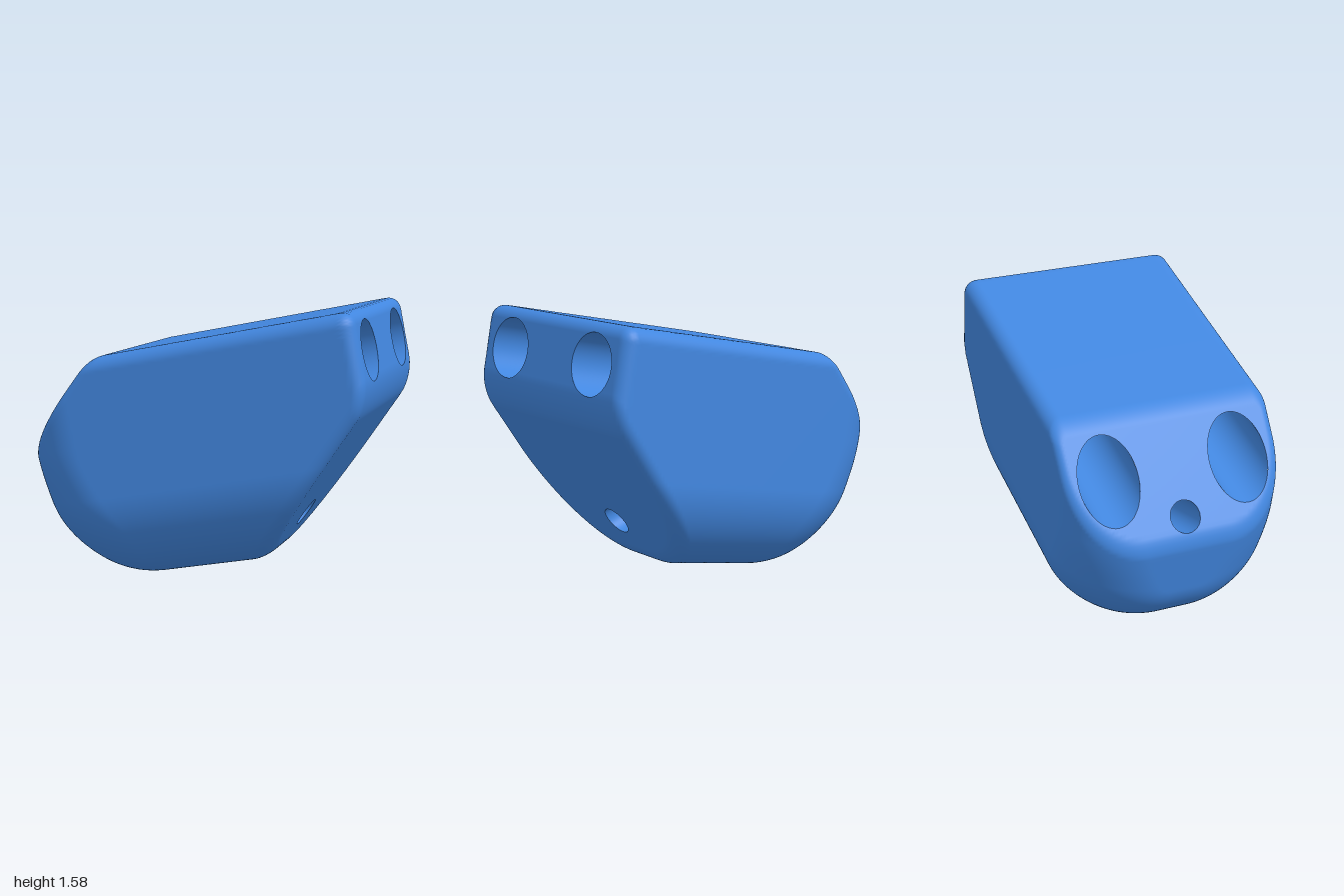
import * as THREE from 'three';
import { mergeVertices } from 'three/addons/utils/BufferGeometryUtils.js';

const TILT = 0.198; // the whole block leans up to the right
const COS = Math.cos(TILT), SIN = Math.sin(TILT);
const CENTRE = new THREE.Vector3(0, 0.78, 0);

// intersection of two solids with a rounded edge of radius r
function rounded(a, b, r) {
  return Math.min(Math.max(a, b), -r) + Math.hypot(Math.max(a + r, 0), Math.max(b + r, 0));
}

// solid block: negative inside, positive outside
function block(p) {
  const u = p.x * COS + p.y * SIN;
  const v = p.y * COS - p.x * SIN;
  // U-shaped section with a slightly tapering width
  let d = rounded(Math.abs(p.z) - (0.63 + 0.018 * u), 0.07 - v, 0.53);
  // left end, rounded widely into the sides and more so into the belly
  const k = THREE.MathUtils.smoothstep(v, 0.2, 0.9);
  d = rounded(d, -u - 0.857, 0.6 - 0.22 * k);
  // flat top, left slant, right end and right slant
  d = rounded(d, v - 1.388, 0.08);
  d = rounded(d, -0.8 * p.x + 0.6 * p.y - 1.237, 0.05);
  const right = rounded(u - 1.216, 0.831 * p.x - 0.556 * p.y - 0.22, 0.09);
  return rounded(d, right, 0.07);
}

// walk from an inside point along a direction to the surface
function trace(origin, dir) {
  let near = 0, far = 2.5;
  const p = new THREE.Vector3();
  for (let i = 0; i < 28; i++) {
    const t = (near + far) / 2;
    p.copy(origin).addScaledVector(dir, t);
    if (block(p) < 0) near = t; else far = t;
  }
  return p;
}

function surfaceNormal(p) {
  const e = 0.004;
  const slope = (x, y, z) =>
    block(new THREE.Vector3(p.x + x, p.y + y, p.z + z)) - block(new THREE.Vector3(p.x - x, p.y - y, p.z - z));
  return new THREE.Vector3(slope(e, 0, 0), slope(0, e, 0), slope(0, 0, e)).normalize();
}

// straight tunnel between two points
function tunnel(name, from, to, radius) {
  const a = new THREE.Vector3(...from), b = new THREE.Vector3(...to);
  return { name, radius, mid: a.clone().add(b).multiplyScalar(0.5), dir: b.sub(a).normalize() };
}

function radialOffset(t, p) {
  const off = p.clone().sub(t.mid);
  return off.addScaledVector(t.dir, -off.dot(t.dir));
}

// outer skin with clean openings where the tunnels come out
function skinGeometry(tunnels) {
  const box = new THREE.BoxGeometry(1.8, 1.35, 1.3, 90, 66, 64);
  box.deleteAttribute('uv');
  box.deleteAttribute('normal');
  const geo = mergeVertices(box);
  const pos = geo.attributes.position;
  const p = new THREE.Vector3();
  const inside = [];
  for (let i = 0; i < pos.count; i++) {
    p.fromBufferAttribute(pos, i).normalize();
    const s = trace(CENTRE, p);
    pos.setXYZ(i, s.x, s.y, s.z);
    inside[i] = tunnels.findIndex((t) => radialOffset(t, s).length() < t.radius);
  }
  // drop faces within an opening, keep the ones on its rim
  const kept = [];
  const old = geo.index.array;
  for (let i = 0; i < old.length; i += 3) {
    const tri = [old[i], old[i + 1], old[i + 2]];
    if (tri.some((n) => inside[n] < 0)) kept.push(...tri);
  }
  geo.setIndex(kept);
  // push rim points out to the tunnel wall
  const normals = [];
  for (let i = 0; i < pos.count; i++) {
    p.fromBufferAttribute(pos, i);
    if (inside[i] >= 0) {
      const t = tunnels[inside[i]];
      const end = Math.sign(p.clone().sub(t.mid).dot(t.dir));
      const start = radialOffset(t, p).setLength(t.radius).add(t.mid);
      p.copy(trace(start, t.dir.clone().multiplyScalar(end)));
      pos.setXYZ(i, p.x, p.y, p.z);
    }
    normals.push(...surfaceNormal(p).toArray());
  }
  geo.setAttribute('normal', new THREE.Float32BufferAttribute(normals, 3));
  return geo;
}

// tunnel wall facing its own axis, trimmed to the skin at both ends
function tunnelGeometry(t) {
  const sides = 72;
  const back = t.dir.clone().negate();
  const side = new THREE.Vector3(0, 0, 1);
  const up = new THREE.Vector3().crossVectors(t.dir, side);
  const points = [], normals = [], index = [];
  for (let i = 0; i <= sides; i++) {
    const a = (i / sides) * Math.PI * 2;
    const out = side.clone().multiplyScalar(Math.cos(a)).addScaledVector(up, Math.sin(a));
    const start = t.mid.clone().addScaledVector(out, t.radius);
    points.push(...trace(start, back).toArray(), ...trace(start, t.dir).toArray());
    out.negate();
    normals.push(...out.toArray(), ...out.toArray());
    if (i < sides) {
      const n = i * 2;
      // up = dir x side, so angles turn clockwise seen along the tunnel
      index.push(n, n + 2, n + 1, n + 1, n + 2, n + 3);
    }
  }
  // make sure the faces agree with the inward normals
  const [A, B, C] = [0, 2, 1].map((n) => new THREE.Vector3().fromArray(points, n * 3));
  const face = B.sub(A).cross(C.sub(A));
  if (face.dot(new THREE.Vector3().fromArray(normals, 0)) < 0) index.reverse();
  const geo = new THREE.BufferGeometry();
  geo.setAttribute('position', new THREE.Float32BufferAttribute(points, 3));
  geo.setAttribute('normal', new THREE.Float32BufferAttribute(normals, 3));
  geo.setIndex(index);
  return geo;
}

export function createModel() {
  const group = new THREE.Group();
  group.name = 'drilledBlock';
  const blue = new THREE.MeshStandardMaterial({ color: 0x4287e0 });
  blue.name = 'blue';

  const tunnels = [
    tunnel('leftTunnel', [-0.77, 1.03, 0.375], [0.955, 1.376, 0.375], 0.168),
    tunnel('rightTunnel', [-0.77, 1.03, -0.375], [0.955, 1.376, -0.375], 0.168),
    tunnel('smallTunnel', [-0.93, 0.82, 0], [0.52, 0.39, 0], 0.085),
  ];

  const add = (name, geometry) => {
    const mesh = new THREE.Mesh(geometry, blue);
    mesh.name = name;
    group.add(mesh);
  };
  add('blockSkin', skinGeometry(tunnels));
  for (const t of tunnels) add(t.name, tunnelGeometry(t));
  return group;
}
